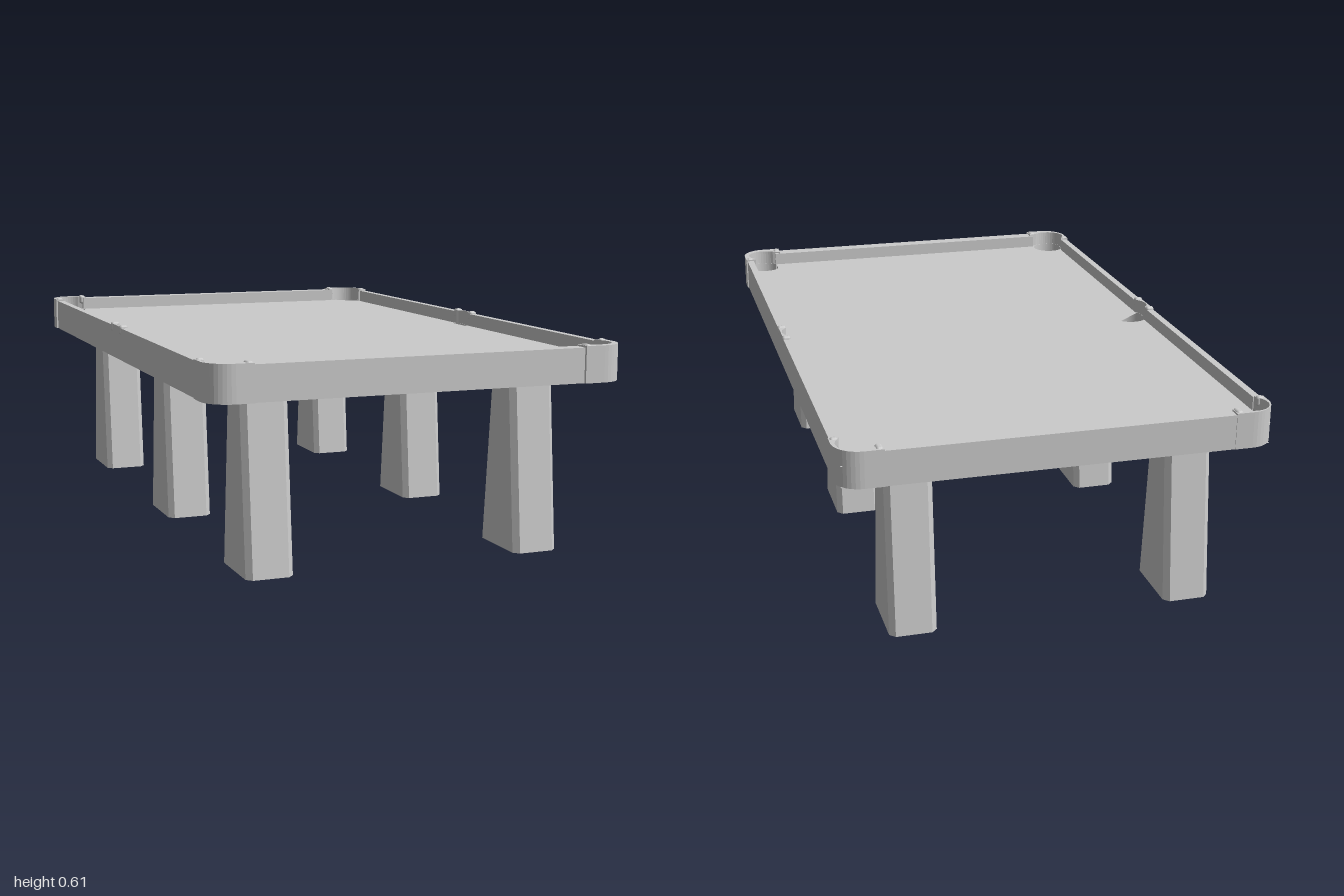
import * as THREE from 'three';
import { RoundedBoxGeometry } from 'three/addons/geometries/RoundedBoxGeometry.js';

const BASE = 0.5, BED = 0.56, TOP = 0.6, R = 0.055;
const grey = new THREE.MeshStandardMaterial({ color: 0xcccccc, side: THREE.DoubleSide });

// Pockets: centre, and the arc of the hole left open in the cloth (radians, in x / -z)
const D = Math.PI / 180;
const pockets = [
  { x: -0.553, z: -0.936, arc: [-60, 240] },
  { x: 0.55, z: -0.936, arc: [-38, 162] },
  { x: -0.553, z: 0.012, arc: [40, 222] },
  { x: 0.553, z: 0.012, arc: [-62, 62] },
  { x: -0.553, z: 0.92, arc: [0, 360] },
  { x: 0.545, z: 0.92, arc: [-150, 150] },
];

export function createModel() {
  const model = new THREE.Group();

  function add(name, geometry, parent = model) {
    const mesh = new THREE.Mesh(geometry, grey);
    mesh.name = name;
    parent.add(mesh);
    return mesh;
  }

  // Plan shapes are drawn as (x, -z) and stood up along y
  function slab(shape, y0, y1) {
    const g = new THREE.ExtrudeGeometry(shape, { depth: y1 - y0, bevelEnabled: false, curveSegments: 16 });
    return g.rotateX(-Math.PI / 2).translate(0, y0, 0);
  }

  function sheet(y, arcOf) {
    const s = new THREE.Shape([[-0.6, -0.97], [0.6, -0.97], [0.6, 0.98], [-0.6, 0.98]]
      .map(([x, v]) => new THREE.Vector2(x, v)));
    for (const p of pockets) {
      const [a, b] = arcOf(p), pts = [];
      const n = 28;
      for (let i = 0; i < n; i++) {
        const t = (a + (b - a) * i / (b - a === 360 ? n : n - 1)) * D;
        // keep the hole inside the sheet
        pts.push(new THREE.Vector2(
          THREE.MathUtils.clamp(p.x + 0.98 * R * Math.cos(t), -0.6 + 1e-3, 0.6 - 1e-3),
          THREE.MathUtils.clamp(-p.z + 0.98 * R * Math.sin(t), -0.969, 0.979)));
      }
      s.holes.push(new THREE.Path(pts));
    }
    return new THREE.ShapeGeometry(s).rotateX(-Math.PI / 2).translate(0, y, 0);
  }

  // Playing bed: cloth above, board below
  add('playingSurface', sheet(BED, p => p.arc));
  const under = sheet(BASE, () => [0, 360]);
  const idx = under.index.array;
  for (let i = 0; i < idx.length; i += 3) [idx[i], idx[i + 1]] = [idx[i + 1], idx[i]];
  under.computeVertexNormals();
  add('bedUnderside', under);

  // Pocket wells through the bed
  for (const p of pockets) {
    add('pocketWell', new THREE.CylinderGeometry(R, R, BED - BASE, 32, 1, true)
      .translate(p.x, (BASE + BED) / 2, p.z));
  }

  // End rails
  for (const [z0, z1] of [[-0.998, -0.955], [0.945, 0.99]]) {
    add('endRail', new THREE.BoxGeometry(1.0, TOP - BASE, z1 - z0)
      .translate(0, (TOP + BASE) / 2, (z0 + z1) / 2));
  }

  const stud = (x, z, w, d) => add('railStud',
    new RoundedBoxGeometry(w, 0.03, d, 2, 0.008).translate(x, TOP - 0.006, z));

  for (const s of [-1, 1]) {
    // Side rail with a round bite for the middle pocket
    const outer = 0.612, inner = 0.59, v = -0.012;
    const a = Math.acos((inner - 0.553) / R);
    const outline = (v0, v1) => {
      const pts = [[outer, v0], [outer, v1], [inner, v1]];
      for (let i = 0; i <= 12; i++) {
        const t = a - 2 * a * i / 12;
        pts.push([0.553 + R * Math.cos(t), v + R * Math.sin(t)]);
      }
      pts.push([inner, v0]);
      return new THREE.Shape(pts.map(([x, y]) => new THREE.Vector2(s * x, y)));
    };
    add('sideRail', slab(outline(-0.87, 0.88), BASE, TOP));
    add('middlePocketRim', slab(outline(v - 0.055, v + 0.055), TOP, TOP + 0.004));
    for (const dz of [-0.052, 0.052]) stud(s * 0.602, 0.012 + dz, 0.026, 0.022);
  }

  // Corner castings, each wrapped round the outside of a pocket
  for (const p of pockets.filter(q => Math.abs(q.z) > 0.5)) {
    const sx = Math.sign(p.x), sz = Math.sign(p.z);
    const X = 0.616 - Math.abs(p.x), Z = (sz > 0 ? 0.998 : 1) - Math.abs(p.z), r = 0.075;
    const pts = [[-0.063, Z]];
    for (let i = 0; i <= 10; i++) {
      const t = (90 - 9 * i) * D;
      pts.push([X - r + r * Math.cos(t), Z - r + r * Math.sin(t)]);
    }
    pts.push([X, -0.05], [0.037, -0.05]);
    for (let i = 0; i <= 18; i++) {
      const t = (-42 + 174 * i / 18) * D;
      pts.push([R * Math.cos(t), R * Math.sin(t)]);
    }
    pts.push([-0.063, 0.03]);
    const shape = new THREE.Shape(pts.map(([x, z]) =>
      new THREE.Vector2(p.x + sx * x, -(p.z + sz * z))));
    add('cornerCasting', slab(shape, BASE, TOP + 0.005));
    stud(p.x + sx * (X - 0.014), p.z - sz * 0.04, 0.022, 0.02);
    stud(p.x - sx * 0.052, p.z + sz * (Z - 0.022), 0.02, 0.036);
  }

  // Chamfered hollow legs, tapering front to back
  function legGeometry() {
    const g = new THREE.CylinderGeometry(1, 1, 1, 8, 1, true, Math.PI / 8).toNonIndexed();
    const pos = g.attributes.position, c = 0.016, hx = 0.068;
    for (let i = 0; i < pos.count; i++) {
      const x = pos.getX(i), y = pos.getY(i), z = pos.getZ(i);
      const hz = y > 0 ? 0.064 : 0.11;
      const alongZ = Math.abs(x) < Math.abs(z);
      pos.setXYZ(i, Math.sign(x) * (hx - (alongZ ? c : 0)), y > 0 ? BASE : 0,
        Math.sign(z) * (hz - (alongZ ? 0 : c)));
    }
    g.computeVertexNormals();
    return g;
  }
  const leg = legGeometry();
  for (const x of [-0.412, 0.397]) {
    for (const z of [-0.798, 0.024, 0.786]) add('leg', leg).position.set(x, 0, z);
  }

  return model;
}
